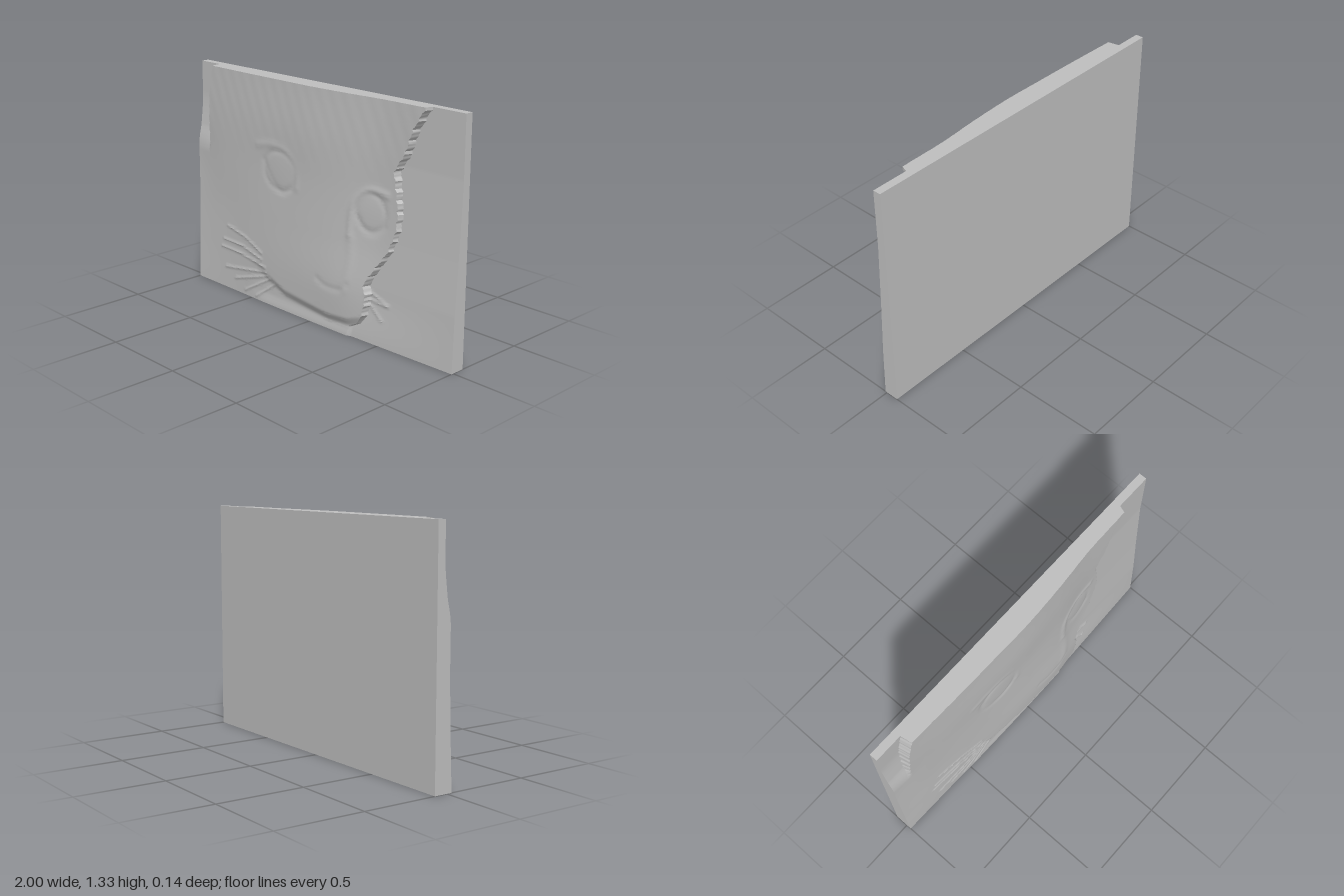
import * as THREE from 'three';
import { toCreasedNormals } from 'three/addons/utils/BufferGeometryUtils.js';

const H = 1.33, BACK = -0.075, ROWS = 160;
const { lerp, smoothstep, clamp } = THREE.MathUtils;

// piecewise-linear curve through [t, value] pairs, t ascending
function along(pts, t) {
  if (t <= pts[0][0]) return pts[0][1];
  for (let i = 1; i < pts.length; i++) {
    const [a, va] = pts[i - 1], [b, vb] = pts[i];
    if (t <= b) return lerp(va, vb, (t - a) / (b - a));
  }
  return pts[pts.length - 1][1];
}

// broad head swell, rows from the chin up, columns from x = -1 to 1
const SWELL = [
  [.030, .034, .040, .054, .060, .058, .040, .025, .015],
  [.020, .030, .043, .058, .068, .068, .042, .025, .015],
  [.012, .026, .042, .052, .057, .050, .020, .008, .000],
  [.010, .030, .042, .047, .050, .040, .014, .006, .000],
  [.025, .036, .046, .052, .054, .040, .017, .008, .000],
  [.030, .036, .042, .045, .047, .035, .015, .010, .000],
];
function cubic(a, t) {
  const i = Math.min(Math.floor(t), a.length - 2), f = t - i;
  const p = k => a[clamp(i + k, 0, a.length - 1)];
  const m0 = (p(1) - p(-1)) / 2, m1 = (p(2) - p(0)) / 2, d = p(1) - p(0);
  return p(0) + f * (m0 + f * (3 * d - 2 * m0 - m1 + f * (m0 + m1 - 2 * d)));
}
const swell = (x, y) => cubic(SWELL.map(r => cubic(r, (x + 1) * 4)), y / H * 5);

// outlines of the head, as x against y
const CHEEK = [[0, .29], [.06, .3], [.09, .36], [.15, .405], [.25, .425], [.33, .41], [.42, .47], [.53, .55],
  [.65, .6], [.75, .612], [.85, .6], [.97, .582], [1.07, .65], [1.2, .7], [H, .78]];
const EAR = [[.85, -.88], [1.0, -.875], [1.18, -.86], [H, -.825]];
const jag = y => .004 * Math.sin(y * 97) + .003 * Math.sin(y * 211 + 1);
const cheekX = y => along(CHEEK, y) + jag(y) * smoothstep(y, .1, .2);
const earX = y => along(EAR, y) + jag(y) * .6;
const CHIN = [[-.45, .2], [-.33, .14], [-.2, .09], [0, .07], [.15, .055], [.3, .065], [.4, .1]];
const BACKDROP = [[0, .012], [.3, .003], [.6, -.013], [1, -.03], [H, -.03]];

// distance from a point to a polyline
function distance(x, y, pts) {
  let best = 9;
  for (let i = 1; i < pts.length; i++) {
    const [ax, ay] = pts[i - 1], dx = pts[i][0] - ax, dy = pts[i][1] - ay;
    const t = clamp(((x - ax) * dx + (y - ay) * dy) / (dx * dx + dy * dy), 0, 1);
    best = Math.min(best, Math.hypot(x - ax - t * dx, y - ay - t * dy));
  }
  return best;
}
const bump = (d, w) => Math.exp(-d * d / (w * w));

// carved lines: points, width, height
const curve = pts => new THREE.SplineCurve(pts.map(p => new THREE.Vector2(...p))).getPoints(12).map(p => [p.x, p.y]);
const LINES = [
  [curve([[-.42, .94], [-.3, .96], [-.17, .93], [-.11, .84], [-.1, .75]]), .022, .003],
  [curve([[-.37, .86], [-.3, .76], [-.22, .7], [-.15, .73]]), .018, -.002],
  [curve([[.3, .58], [.31, .72], [.36, .8], [.44, .845], [.54, .835]]), .02, .006],
  [curve([[.36, .68], [.4, .62], [.47, .61], [.53, .66]]), .018, -.002],
  [curve([[.31, .55], [.315, .45], [.3, .34], [.28, .28]]), .03, .004],
  [curve([[.08, .28], [.15, .255], [.25, .26], [.3, .3]]), .018, -.003],
];
const WHISKERS = [
  [[-.3, .13], [-.46, .02]], [[-.33, .16], [-.56, .03]], [[-.35, .17], [-.65, .08]], [[-.36, .19], [-.74, .13]],
  [[-.37, .22], [-.6, .25], [-.78, .25]], [[-.4, .26], [-.58, .3], [-.76, .3]], [[-.4, .3], [-.55, .36], [-.72, .39]],
  [[.43, .28], [.56, .23]], [[.43, .24], [.54, .23]], [[.43, .21], [.52, .14]],
];
const EYES = [[-.24, .82, .12, .105], [.435, .725, .09, .095]];

function details(x, y) {
  let z = 0;
  for (const [pts, w, h] of LINES) z += h * bump(distance(x, y, pts), w);
  for (const [ex, ey, rx, ry] of EYES) {
    const r = Math.hypot((x - ex) / rx, (y - ey) / ry);
    z += .004 * Math.max(0, 1 - r * r) - .003 * bump(r - 1.08, .16);
  }
  return z + .0004 * Math.sin(x * 70 + y * 30) * smoothstep(y, .8, 1.2);
}

// height of the head and chest
function head(x, y) {
  const chest = .046 - .02 * x * x - .008 * smoothstep(y, 0, .07);
  const chin = along(CHIN, x);
  const below = (1 - smoothstep(y, chin - .015, chin + .05)) * smoothstep(x, -.55, -.33);
  return lerp(swell(x, y) + details(x, y), chest, below);
}

function relief(x, y, cheek, ear) {
  const right = smoothstep(x, cheek, cheek + .014);
  const left = (1 - smoothstep(x, ear - .012, ear)) * smoothstep(y, .8, .96);
  let z = head(Math.min(x, cheek), y);
  const drop = along(BACKDROP, y) + (1 - x) * .03 * (1 - smoothstep(y, 0, .3));
  z = lerp(z, drop, right);
  z = lerp(z, lerp(-.005, -.03, smoothstep(y, .85, 1.15)), left);
  if (y < .45) for (const w of WHISKERS) z += .005 * bump(distance(x, y, w), .007);
  return z;
}

// columns gather along the ear and cheek edges so that the steps stay crisp
const SPANS = [18, 2, 165, 2, 55];
function rowPoints(y) {
  const cheek = cheekX(y), ear = earX(y);
  const stops = [-1, ear - .012, ear, cheek, cheek + .014, 1], row = [];
  SPANS.forEach((n, s) => {
    for (let i = s ? 1 : 0; i <= n; i++) {
      const x = lerp(stops[s], stops[s + 1], i / n);
      row.push([x, y, relief(x, y, cheek, ear)]);
    }
  });
  return row;
}

// surface through equal rows of points
function skin(rows) {
  const n = rows[0].length, index = [];
  for (let j = 0; j < rows.length - 1; j++) for (let i = 0; i < n - 1; i++) {
    const a = j * n + i, b = a + n;
    index.push(a, a + 1, b + 1, a, b + 1, b);
  }
  const g = new THREE.BufferGeometry();
  g.setAttribute('position', new THREE.Float32BufferAttribute(rows.flat(2), 3));
  g.setIndex(index);
  g.computeVertexNormals();
  return g;
}

export function createModel() {
  const group = new THREE.Group();
  const grey = new THREE.MeshStandardMaterial({ color: 0xbdbdbd });
  grey.name = 'plaster grey';
  const add = (name, geometry) => {
    const mesh = new THREE.Mesh(geometry, grey);
    mesh.name = name;
    group.add(mesh);
  };

  // carved front
  const rows = Array.from({ length: ROWS + 1 }, (_, j) => rowPoints(H * j / ROWS));
  add('catFaceRelief', toCreasedNormals(skin(rows), 0.7));

  // flat edges of the slab, joined to the border of the relief
  const flat = edge => edge.map(([x, y]) => [x, y, BACK]);
  const bottom = rows[0], top = rows[ROWS];
  const left = rows.map(r => r[0]), right = rows.map(r => r[r.length - 1]);
  add('bottomEdge', skin([flat(bottom), bottom]));
  add('topEdge', skin([top, flat(top)]));
  add('leftSideEdge', skin([left, flat(left)]));
  add('rightSideEdge', skin([flat(right), right]));

  // flat back
  add('backPanel', skin([[[1, 0, BACK], [-1, 0, BACK]], [[1, H, BACK], [-1, H, BACK]]]));
  return group;
}
